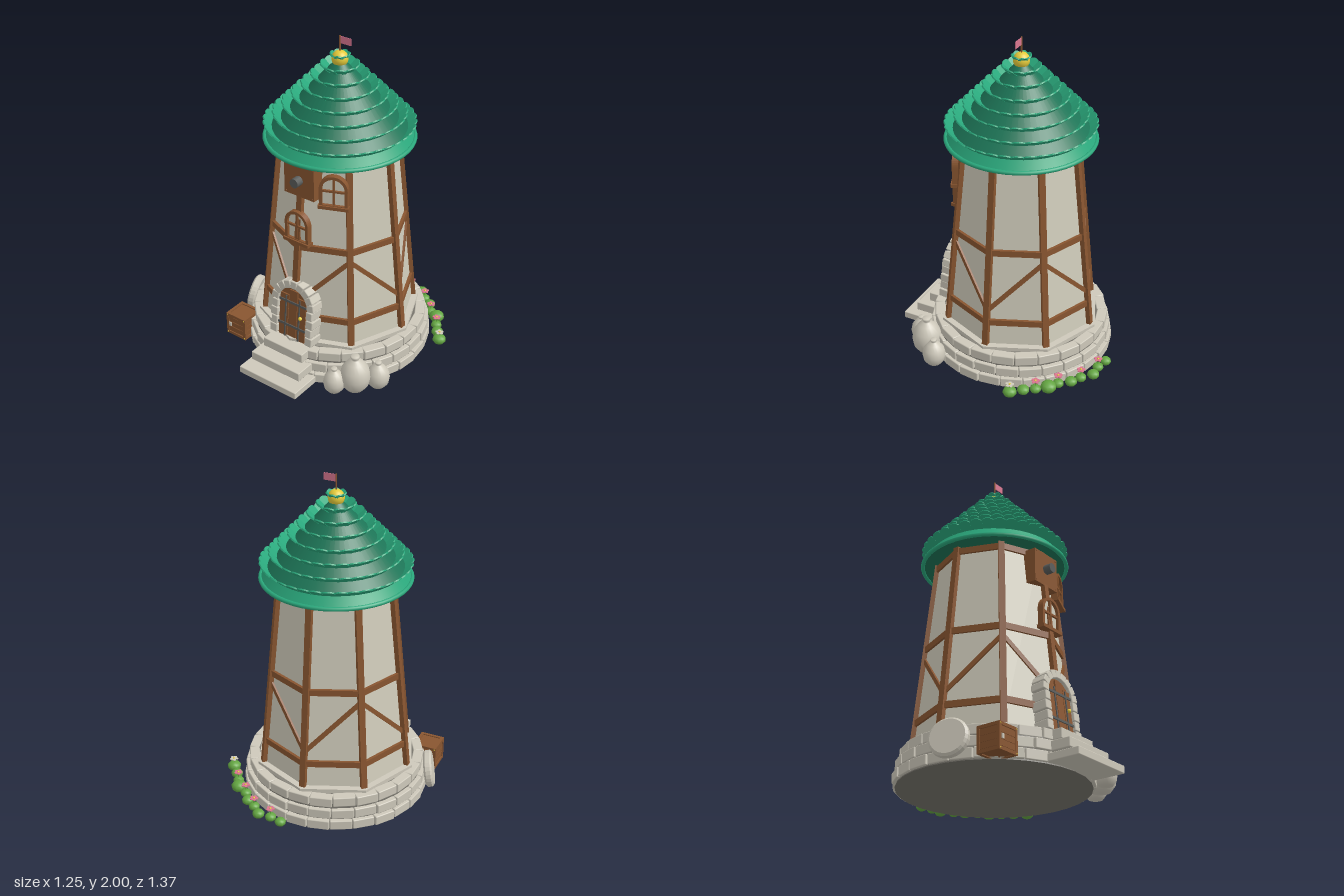
import * as THREE from 'three';
import { mergeGeometries } from 'three/addons/utils/BufferGeometryUtils.js';
import { RoundedBoxGeometry } from 'three/addons/geometries/RoundedBoxGeometry.js';

const mat = (name, color, side = THREE.FrontSide) => {
  const m = new THREE.MeshStandardMaterial({ color, side });
  m.name = name;
  return m;
};

export function createModel() {
  const plaster = mat('plaster', 0xd0ccbb), stone = mat('stone', 0xcdc8ba), wood = mat('wood', 0x885530);
  const roofGreen = mat('roofGreen', 0x2aa87c, THREE.DoubleSide), roofShade = mat('roofShade', 0x1d7557);
  const gold = mat('gold', 0xe4ca3a), pink = mat('pink', 0xda7690, THREE.DoubleSide), leaf = mat('leaf', 0x64a642);
  const iron = mat('iron', 0x5a5c5a), mortar = mat('mortar', 0x77746c);

  const model = new THREE.Group();
  model.name = 'tower';
  const tower = new THREE.Group();
  tower.name = 'towerBody';
  tower.position.set(-0.015, 0, -0.04);
  model.add(tower);

  const add = (parent, name, geo, m, x = 0, y = 0, z = 0) => {
    const mesh = new THREE.Mesh(geo, m);
    mesh.name = name;
    mesh.position.set(x, y, z);
    parent.add(mesh);
    return mesh;
  };
  const group = (parent, name, x, y, z) => {
    const g = new THREE.Group();
    g.name = name;
    g.position.set(x, y, z);
    parent.add(g);
    return g;
  };
  const box = (w, h, d) => new THREE.BoxGeometry(w, h, d);
  const cyl = (a, b, h, n = 16) => new THREE.CylinderGeometry(a, b, h, n);
  const lathe = (points, n) => new THREE.LatheGeometry(points.map((p) => new THREE.Vector2(...p)), n);
  const flat = (g) => { const f = g.toNonIndexed(); f.computeVertexNormals(); return f; };
  let seed = 7;
  const rand = () => (seed = (seed * 16807) % 2147483647) / 2147483647;

  // Stone foundation: mortar core, plinth and three courses of bricks
  add(tower, 'foundationCore', cyl(0.515, 0.55, 0.197, 32), mortar, 0, 0.1035, 0);
  add(tower, 'plinth', flat(cyl(0.5, 0.5, 0.03, 8)), stone, 0, 0.212, 0);
  [[0.568, 0.012, 26], [0.555, 0.08, 25], [0.535, 0.15, 24]].forEach(([r, y, n], row) => {
    const bricks = [];
    for (let i = 0; i < n; i++) {
      const out = r - rand() * 0.01;
      const g = new RoundedBoxGeometry((2 * Math.PI * r) / n - 0.008, 0.06, 0.06, 1, 0.006);
      g.translate(0, y + 0.03, out - 0.03).rotateY(((i + row * 0.5) * 2 * Math.PI) / n);
      bricks.push(g);
    }
    add(tower, 'brickCourse', mergeGeometries(bricks), stone);
  });

  // Eight-sided plaster wall
  const radius = (y) => 0.46 - (0.12 * (y - 0.22)) / 1.16;
  add(tower, 'wall', flat(cyl(radius(1.4), radius(0.22), 1.18, 8)), plaster, 0, 0.81, 0);

  // Timber framing
  const corner = (k, y) => {
    const a = (k * Math.PI) / 4, r = radius(y);
    return new THREE.Vector3(Math.sin(a) * r, y, Math.cos(a) * r);
  };
  const beam = (name, p, q, w, d) => {
    const up = q.clone().sub(p), len = up.length();
    up.normalize();
    const mid = p.clone().add(q).multiplyScalar(0.5);
    const out = new THREE.Vector3(mid.x, 0, mid.z);
    out.addScaledVector(up, -out.dot(up)).normalize();
    const m = new THREE.Matrix4().makeBasis(up.clone().cross(out), up, out).setPosition(mid);
    add(tower, name, box(w, len, d).applyMatrix4(m), wood);
  };
  for (let k = 0; k < 8; k++) {
    beam('cornerPost', corner(k, k ? 0.22 : 0.57), corner(k, 1.39), 0.036, 0.04);
    for (const y of [0.375, 0.83, 1.358]) beam('ringBeam', corner(k, y), corner(k + 1, y), 0.038, 0.03);
    const high = k % 2 ? k : k + 1, low = k % 2 ? k + 1 : k;
    beam('brace', corner(low, 0.45), corner(high, 0.77), 0.026, 0.022);
  }

  // Conical roof: shaded soffit and core, bright eave band and rim
  add(tower, 'soffit', lathe([[0.3, 1.386], [0.436, 1.386]], 48), roofShade);
  add(tower, 'eaveBand', lathe([[0.435, 1.388], [0.425, 1.4], [0.39, 1.455]], 48), roofGreen);
  add(tower, 'roofCone', lathe([[0.39, 1.455], [0, 1.88]], 48), roofShade);
  add(tower, 'roofRim', new THREE.TorusGeometry(0.432, 0.013, 8, 48).rotateX(Math.PI / 2), roofGreen, 0, 1.389, 0);

  // Upturned round shingles in rings
  for (let row = 0; row < 8; row++) {
    const tip = 0.437 - row * 0.0545, y = 1.452 + row * 0.0575;
    const n = Math.max(7, Math.round((2 * Math.PI * tip) / 0.072));
    const w = (Math.PI * tip) / n * 1.08;
    const s = new THREE.Shape();
    s.moveTo(-w * 0.85, -0.015);
    s.lineTo(w * 0.85, -0.015);
    s.lineTo(w, 0.04);
    s.absellipse(0, 0.04, w, 0.028, 0, Math.PI, false);
    s.closePath();
    const tiles = [];
    for (let i = 0; i < n; i++) {
      const g = new THREE.ExtrudeGeometry(s, { depth: 0.008, bevelEnabled: false, curveSegments: 5 });
      g.rotateX(Math.PI / 2 - 0.7).translate(0, y, tip - 0.052);
      tiles.push(g.rotateY(((i + (row % 2) * 0.5) * 2 * Math.PI) / n));
    }
    add(tower, 'shingleRow', mergeGeometries(tiles), roofGreen);
  }

  // Finial, pole and flag
  add(tower, 'finial', new THREE.SphereGeometry(0.048, 20, 14), gold, 0, 1.862, 0);
  add(tower, 'flagPole', cyl(0.005, 0.005, 0.13, 8), wood, 0, 1.935, 0);
  add(tower, 'flag', box(0.072, 0.042, 0.004), pink, 0.039, 1.975, 0);

  // Arched shapes, base at y = 0
  const arch = (hw, base, spring, Path = THREE.Shape) => {
    const s = new Path();
    s.moveTo(-hw, base);
    s.lineTo(hw, base);
    s.lineTo(hw, spring);
    s.absarc(0, spring, hw, 0, Math.PI, false);
    s.lineTo(-hw, base);
    return s;
  };
  const extrude = (s, depth) => new THREE.ExtrudeGeometry(s, { depth, bevelEnabled: false, curveSegments: 12 });

  // Door with stone surround, leaning with the wall
  const door = group(tower, 'door', 0, 0.215, 0.461);
  door.rotation.x = -Math.atan(0.12 / 1.16);
  add(door, 'doorBack', extrude(arch(0.112, 0, 0.235), 0.075), wood, 0, 0, -0.062);
  [-1, 0, 1].forEach((i) =>
    add(door, 'doorPlank', box(0.06, i ? 0.285 : 0.325, 0.012), wood, i * 0.064, i ? 0.143 : 0.163, 0.017));
  for (const y of [0.085, 0.245]) add(door, 'doorStrap', box(0.2, 0.014, 0.006), iron, 0, y, 0.026);
  for (const x of [-0.05, 0.05]) add(door, 'doorBar', box(0.008, 0.28, 0.006), iron, x, 0.14, 0.026);
  add(door, 'doorKnob', new THREE.SphereGeometry(0.012, 10, 8), gold, 0.064, 0.165, 0.031);
  for (const side of [-1, 1]) {
    for (let i = 0; i < 4; i++) {
      const w = i % 2 ? 0.044 : 0.052;
      add(door, 'jambStone', new RoundedBoxGeometry(w, 0.055, 0.095, 1, 0.006), stone,
        side * (0.104 + w / 2), 0.03 + i * 0.058, -0.012);
    }
  }
  for (let i = 0; i < 9; i++) {
    const a = ((i + 0.5) / 9 - 0.5) * Math.PI;
    const g = new RoundedBoxGeometry(0.047, 0.05, 0.09, 1, 0.006).translate(0, 0.131, 0).rotateZ(a);
    add(door, 'archStone', g, stone, 0, 0.235, -0.012);
  }

  // Arched windows, set upright
  const makeWindow = (x, y, z, turn) => {
    const w = group(tower, 'window', x, y, z);
    w.rotation.y = turn;
    const frame = arch(0.083, 0, 0.115);
    frame.holes.push(arch(0.065, 0.014, 0.115, THREE.Path));
    add(w, 'windowFrame', extrude(frame, 0.036), wood, 0, 0, -0.018);
    add(w, 'windowPane', extrude(arch(0.07, 0, 0.115), 0.006), plaster, 0, 0, -0.006);
    add(w, 'windowMullion', box(0.012, 0.18, 0.016), wood, 0, 0.095, 0.005);
    add(w, 'windowTransom', box(0.14, 0.012, 0.016), wood, 0, 0.1, 0.005);
    add(w, 'windowSill', box(0.178, 0.02, 0.05), wood, 0, 0, 0.003);
  };
  makeWindow(0, 0.868, 0.398, 0);
  makeWindow(0.196, 1.127, 0.318, Math.PI / 8);

  // Axle housing
  const housing = group(tower, 'axleHousing', 0, 1.258, 0.34);
  add(housing, 'housingBox', box(0.21, 0.21, 0.085), wood);
  add(housing, 'axle', cyl(0.029, 0.029, 0.1, 12).rotateX(Math.PI / 2), iron, 0, 0, 0.04);
  for (const x of [-1, 1]) for (const y of [-1, 1])
    add(housing, 'housingPeg', cyl(0.005, 0.005, 0.006, 8).rotateX(Math.PI / 2), wood, x * 0.092, y * 0.092, 0.043);

  // Entrance steps
  [[0.425, 0.012, 0.682, 0.045], [0.36, 0.078, 0.605, 0.057], [0.29, 0.15, 0.53, 0.06]].forEach(([w, y, z, h]) =>
    add(model, 'step', new RoundedBoxGeometry(w, h, 0.2, 1, 0.005), stone, -0.014, y + h / 2, z - 0.1));

  // Slatted wooden crate with a small latch
  const crate = group(model, 'crate', -0.476, 0.083, 0.35);
  add(crate, 'crateBody', box(0.136, 0.138, 0.136), wood);
  for (const y of [-0.036, 0, 0.036]) add(crate, 'crateSlat', box(0.142, 0.032, 0.142), wood, 0, y, 0);
  for (const a of [-1, 1]) for (const b of [-1, 1]) {
    const p = a * 0.066, q = b * 0.066;
    add(crate, 'crateRail', box(0.15, 0.018, 0.018), wood, 0, p, q);
    add(crate, 'crateRail', box(0.018, 0.15, 0.018), wood, p, 0, q);
    add(crate, 'crateRail', box(0.018, 0.018, 0.15), wood, p, q, 0);
    for (const z of [-1, 1])
      add(crate, 'crateNail', new THREE.SphereGeometry(0.004, 6, 5), gold, p, q, z * 0.075);
  }
  add(crate, 'crateLatch', box(0.018, 0.026, 0.008), stone, -0.045, 0, 0.073);

  // Millstone leaning on the foundation
  const mill = group(model, 'millstone', -0.572, 0.127, 0.107);
  mill.rotation.y = 0.34;
  const rim = [[0, -0.025], [0.1, -0.025], [0.113, -0.014], [0.113, 0.014], [0.1, 0.025], [0, 0.025]];
  add(mill, 'millstoneDisc', flat(lathe(rim, 28).rotateZ(Math.PI / 2 - 0.16)), stone);

  // Tied sacks
  const sack = [[0, 0], [0.6, 0.02], [0.9, 0.18], [1, 0.4], [0.88, 0.62], [0.55, 0.8], [0.25, 0.88],
    [0.2, 0.91], [0.3, 0.95], [0.26, 1], [0, 1]];
  for (const [x, z, r, h] of [[0.414, 0.384, 0.092, 0.238], [0.508, 0.283, 0.07, 0.175], [0.328, 0.474, 0.066, 0.165]])
    add(model, 'sack', lathe(sack.map(([a, b]) => [a * r, b * h]), 20), stone, x, 0.012, z);

  // Curved hedge of bushes, every second one in flower
  const hedge = [[0.063, -0.651, 0.034], [0.136, -0.633, 0.034], [0.215, -0.637, 0.037], [0.273, -0.582, 0.034],
    [0.335, -0.546, 0.037], [0.382, -0.485, 0.034], [0.447, -0.452, 0.048], [0.487, -0.387, 0.034],
    [0.53, -0.329, 0.037], [0.584, -0.268, 0.042]];
  hedge.forEach(([x, z, r], i) => {
    add(model, 'bush', new THREE.SphereGeometry(r, 9, 7).scale(1, 0.75, 1), leaf, x, 0.016 + r * 0.75, z);
    if (i % 2 === 0) return;
    const pale = i === 9;
    const flower = group(model, 'flower', x, 0.1, z);
    add(flower, 'stem', cyl(0.003, 0.003, 0.06, 6), leaf, 0, -0.03, 0);
    for (let k = 0; k < 5; k++) {
      const a = (k * 2 * Math.PI) / 5;
      add(flower, 'petal', cyl(0.0105, 0.0105, 0.005, 8), pale ? plaster : pink, Math.sin(a) * 0.016, 0, Math.cos(a) * 0.016);
    }
    add(flower, 'flowerCentre', new THREE.SphereGeometry(0.007, 8, 6), gold, 0, 0.002, 0);
  });
  return model;
}
